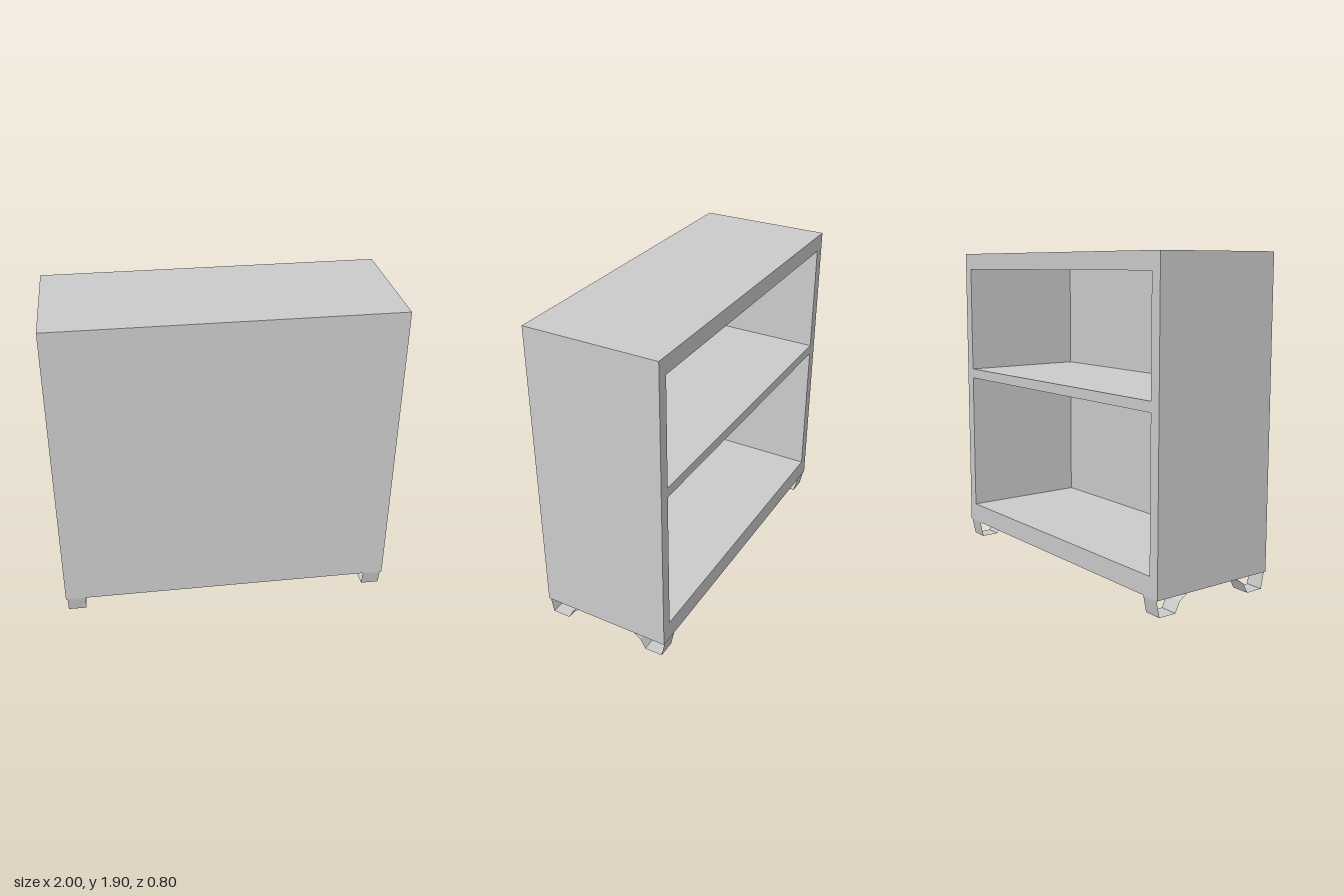
import * as THREE from 'three';

const grey = new THREE.MeshStandardMaterial({ color: 0xcccccc, flatShading: true });
const thin = new THREE.MeshStandardMaterial({ color: 0xcccccc, flatShading: true, side: THREE.DoubleSide });

function rectangle(target, x0, y0, x1, y1) {
  target.moveTo(x0, y0);
  target.lineTo(x1, y0);
  target.lineTo(x1, y1);
  target.lineTo(x0, y1);
  target.closePath();
  return target;
}

// Sweeps a (z, y) profile along x into an open strip
function strip(profile, x0, x1) {
  const pos = [], index = [];
  profile.forEach(([z, y], i) => {
    pos.push(x0, y, z, x1, y, z);
    if (i) index.push(2 * i - 2, 2 * i - 1, 2 * i, 2 * i - 1, 2 * i + 1, 2 * i);
  });
  const geometry = new THREE.BufferGeometry();
  geometry.setAttribute('position', new THREE.Float32BufferAttribute(pos, 3));
  geometry.setIndex(index);
  geometry.computeVertexNormals();
  return geometry;
}

export function createModel() {
  const model = new THREE.Group();
  model.name = 'bookcase';

  const add = (name, geometry, material) => {
    const mesh = new THREE.Mesh(geometry, material);
    mesh.name = name;
    model.add(mesh);
    return mesh;
  };

  // Carcass with two compartments open towards -z
  const outline = rectangle(new THREE.Shape(), -1, 0.1, 1, 1.9);
  for (const [y0, y1] of [[0.217, 1.083], [1.143, 1.8]]) {
    outline.holes.push(rectangle(new THREE.Path(), -0.935, y0, 0.935, y1));
  }
  const carcass = new THREE.ExtrudeGeometry(outline, { depth: 0.79, bevelEnabled: false });
  add('carcass', carcass, grey).position.z = -0.4;

  // Thin panel closing the +z side
  add('panel', new THREE.BoxGeometry(2, 1.8, 0.01), grey).position.set(0, 1, 0.395);

  // Bent-strip runners: a foot at each end joined by a flat length under the base
  const foot = [[0.397, 0.1], [0.393, 0.077], [0.377, 0], [0.267, 0], [0.236, 0.06], [0.18, 0.098]];
  const profile = [...foot, ...foot.map(([z, y]) => [-z, y]).reverse()];
  add('leftFeet', strip(profile, 0.88, 0.99), thin);
  add('rightFeet', strip(profile, -0.99, -0.88), thin);

  return model;
}
